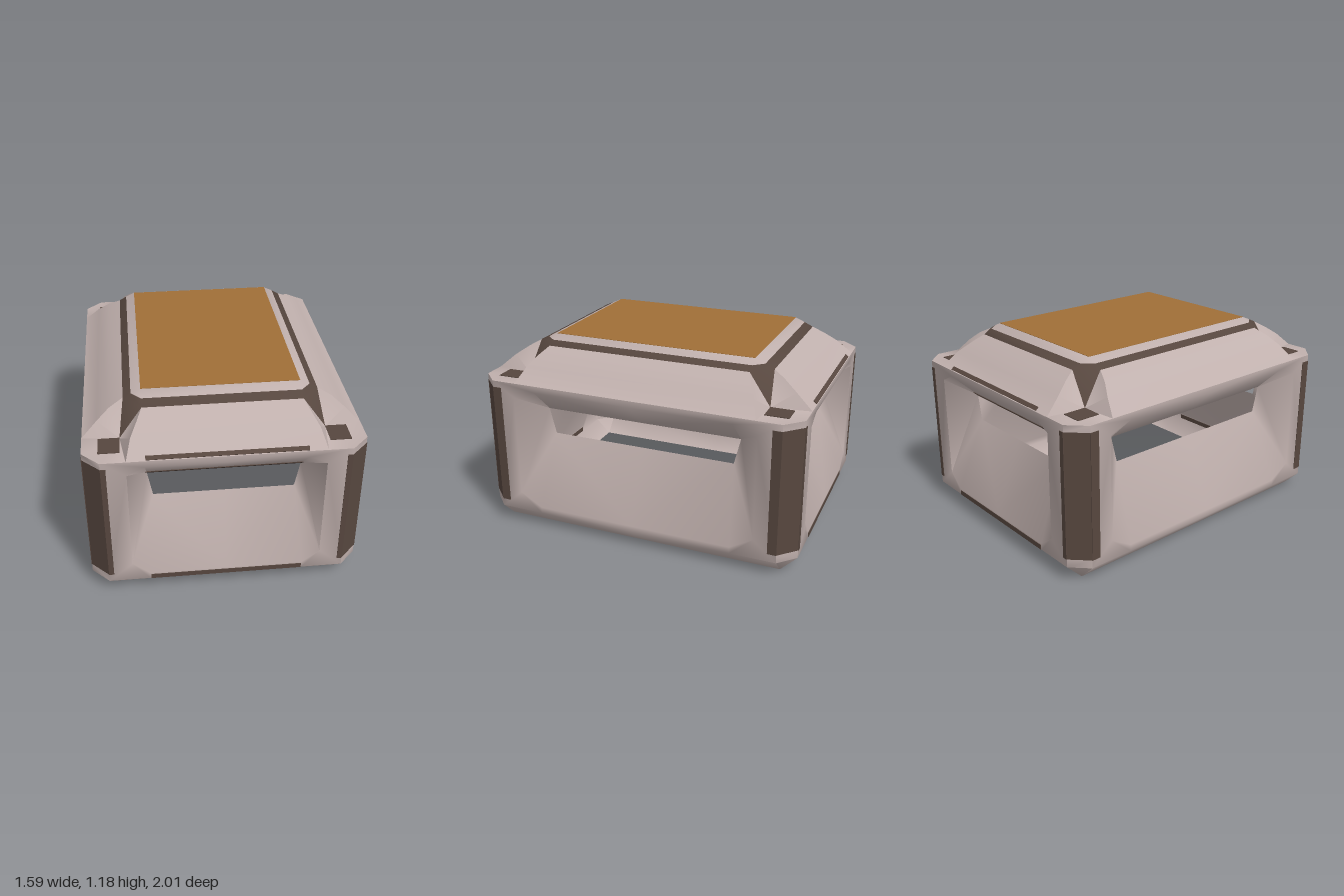
import * as THREE from 'three';
import { toCreasedNormals } from 'three/addons/utils/BufferGeometryUtils.js';

const mat = (name, color) => {
  const m = new THREE.MeshStandardMaterial({ color, side: THREE.DoubleSide });
  m.name = name;
  return m;
};

// Collects polygons, each turned to face a reference direction
class Faces {
  constructor() { this.pos = []; }
  add(dir, ...pts) {
    const v = pts.map((p) => new THREE.Vector3(...p));
    for (let i = 1; i < v.length - 1; i++) {
      const [a, b, c] = [v[0], v[i], v[i + 1]];
      const n = b.clone().sub(a).cross(c.clone().sub(a));
      const flip = n.dot(new THREE.Vector3(...dir)) < 0;
      for (const p of flip ? [a, c, b] : [a, b, c]) this.pos.push(p.x, p.y, p.z);
    }
  }
  mesh(name, material) {
    const g = new THREE.BufferGeometry();
    g.setAttribute('position', new THREE.Float32BufferAttribute(this.pos, 3));
    const m = new THREE.Mesh(toCreasedNormals(g, 0.95), material);
    m.name = name;
    return m;
  }
}

const HX = 0.79, HZ = 1, CUT = 0.1, EAVE = 0.95;

// One wall: L half length, D distance from centre; to() maps (along, y, out) to xyz
function addWall(walls, L, D, p, w0, w1, to, dir) {
  const c = L - CUT, o = L - 0.24, inn = D - 0.17;
  for (const s of [1, -1]) {
    const q = (...pts) => walls.add(dir, ...pts.map(([u, y, d]) => to(u * s, y, d)));
    const B = [[0, 0.1, D], [p, 0.1, D], [c, 0.1, D]];
    const T = [[0, EAVE, D], [p, EAVE, D], [c, EAVE, D]];
    const R = [[0, 0.14, D], [p, 0.14, D], [o, 0.22, D], [o, 0.86, D], [p, 0.91, D], [0, 0.91, D]];
    const I = [[0, 0.59, inn], [w0, 0.59, inn], [w1, 0.75, inn], [0, 0.75, inn]];
    // turned-in foot
    q([0, 0, D - CUT], [p, 0, D - CUT], B[1], B[0]);
    q([p, 0, D - CUT], [c, 0, D - CUT], B[2], B[1]);
    // flat frame
    q(B[0], B[1], R[1], R[0]);
    q(B[1], B[2], R[2], R[1]);
    q(B[2], T[2], R[3], R[2]);
    q(T[2], T[1], R[4], R[3]);
    q(T[1], T[0], R[5], R[4]);
    // sloping sill, cheeks and header around the window
    q(R[0], R[1], I[1], I[0]);
    q(R[1], R[2], I[1]);
    q(R[2], R[3], I[2], I[1]);
    q(R[3], R[4], I[2]);
    q(R[4], R[5], I[3], I[2]);
  }
}

export function createModel() {
  const stone = mat('pale taupe', 0xc0b0ad);
  const dark = mat('dark brown', 0x57473f);
  const gold = mat('ochre', 0xa06f38);
  const root = new THREE.Group();
  root.name = 'lanternBox';

  const walls = new Faces(), roof = new Faces(), trim = new Faces(), strips = new Faces();
  const front = (s) => (u, y, d) => [u, y, d * s];
  const side = (s) => (u, y, d) => [d * s, y, u];

  for (const s of [1, -1]) {
    addWall(walls, HX, HZ, 0.45, 0.41, 0.44, front(s), [0, 0, s]);
    addWall(walls, HZ, HX, 0.62, 0.58, 0.62, side(s), [s, 0, 0]);

    // curved roof strips, dark ridge band and pale rim: [along, y, out]
    const rows = (to, dir, pts) => {
      for (let i = 0; i < pts.length - 1; i++) {
        const [a, y, d] = pts[i], [b, y2, d2] = pts[i + 1];
        (i === 3 ? trim : roof).add(dir, to(-a, y, d), to(a, y, d), to(b, y2, d2), to(-b, y2, d2));
      }
    };
    rows(front(s), [0, 1, s], [[0.55, EAVE, 1], [0.52, 1.035, 0.9], [0.48, 1.09, 0.82],
      [0.45, 1.13, 0.75], [0.45, 1.155, 0.695], [0.45, 1.18, 0.635]]);
    rows(side(s), [s, 1, 0], [[0.75, EAVE, HX], [0.71, 1.035, 0.7], [0.67, 1.09, 0.63],
      [0.635, 1.13, 0.55], [0.635, 1.155, 0.505], [0.635, 1.18, 0.45]]);
  }

  // corners: post, foot, sunken post top, valley and ridge band
  for (const sx of [1, -1]) for (const sz of [1, -1]) {
    const m = ([x, y, z]) => [x * sx, y, z * sz];
    const put = (f, dir, ...pts) => f.add(m(dir), ...pts.map(m));
    const out = [1, 0, 1], up = [0.5, 1, 0.5];
    const cx = HX - CUT, cz = HZ - CUT;
    put(walls, out, [cx, 0, cz], [cx, 0.1, HZ], [HX, 0.1, cz]);
    [[0.1, 0.15, walls], [0.15, 0.91, strips], [0.91, EAVE, walls]].forEach(([a, b, f]) =>
      put(f, out, [cx, a, HZ], [HX, a, cz], [HX, b, cz], [cx, b, HZ]));
    const F = [0.58, EAVE, 0.77];
    put(roof, [0, 1, 0], F, [0.55, EAVE, 1], [cx, EAVE, HZ], [HX, EAVE, cz], [HX, EAVE, 0.75]);
    const f = [[0.55, EAVE, 1], [0.52, 1.035, 0.9], [0.48, 1.09, 0.82], [0.45, 1.13, 0.75]];
    const g = [[HX, EAVE, 0.75], [0.7, 1.035, 0.71], [0.63, 1.09, 0.67], [0.55, 1.13, 0.635]];
    for (let i = 0; i < 3; i++) {
      put(roof, up, F, f[i], f[i + 1]);
      put(roof, up, F, g[i], g[i + 1]);
    }
    put(trim, up, F, f[3], g[3]);
    put(trim, up, f[3], g[3], [0.505, 1.155, 0.635], [0.45, 1.155, 0.695]);
    put(roof, up, [0.45, 1.155, 0.695], [0.505, 1.155, 0.635], [0.45, 1.18, 0.635]);
  }

  root.add(walls.mesh('walls', stone), roof.mesh('roof', stone),
    trim.mesh('ridgeBand', dark), strips.mesh('cornerStrips', dark));

  // thin painted plates
  const plate = (parent, name, material, size, at, tilt = 0) => {
    const b = new THREE.Mesh(new THREE.BoxGeometry(...size), material);
    b.name = name;
    b.position.set(...at);
    b.rotation.x = tilt;
    parent.add(b);
  };
  plate(root, 'topPanel', gold, [0.9, 0.006, 1.27], [0, 1.179, 0]);
  for (const sx of [1, -1]) for (const sz of [1, -1]) {
    plate(root, 'postCap', dark, [0.12, 0.008, 0.14], [0.64 * sx, EAVE, 0.84 * sz]);
    plate(root, 'postSideBand', dark, [0.006, 0.76, 0.055], [HX * sx, 0.53, 0.873 * sz]);
    plate(root, 'postFrontBand', dark, [0.03, 0.76, 0.006], [0.675 * sx, 0.53, HZ * sz]);
  }
  for (const turn of [0, Math.PI]) {
    const bands = new THREE.Group();
    bands.name = turn ? 'backBands' : 'frontBands';
    bands.rotation.y = turn;
    plate(bands, 'footBand', dark, [0.89, 0.03, 0.006], [0, 0.115, HZ]);
    plate(bands, 'eaveBand', dark, [0.89, 0.025, 0.008], [0, 0.961, 0.987], -0.866);
    plate(bands, 'headerBand', dark, [0.9, 0.036, 0.008], [0, 0.764, 0.845], 0.815);
    root.add(bands);
  }
  return root;
}
